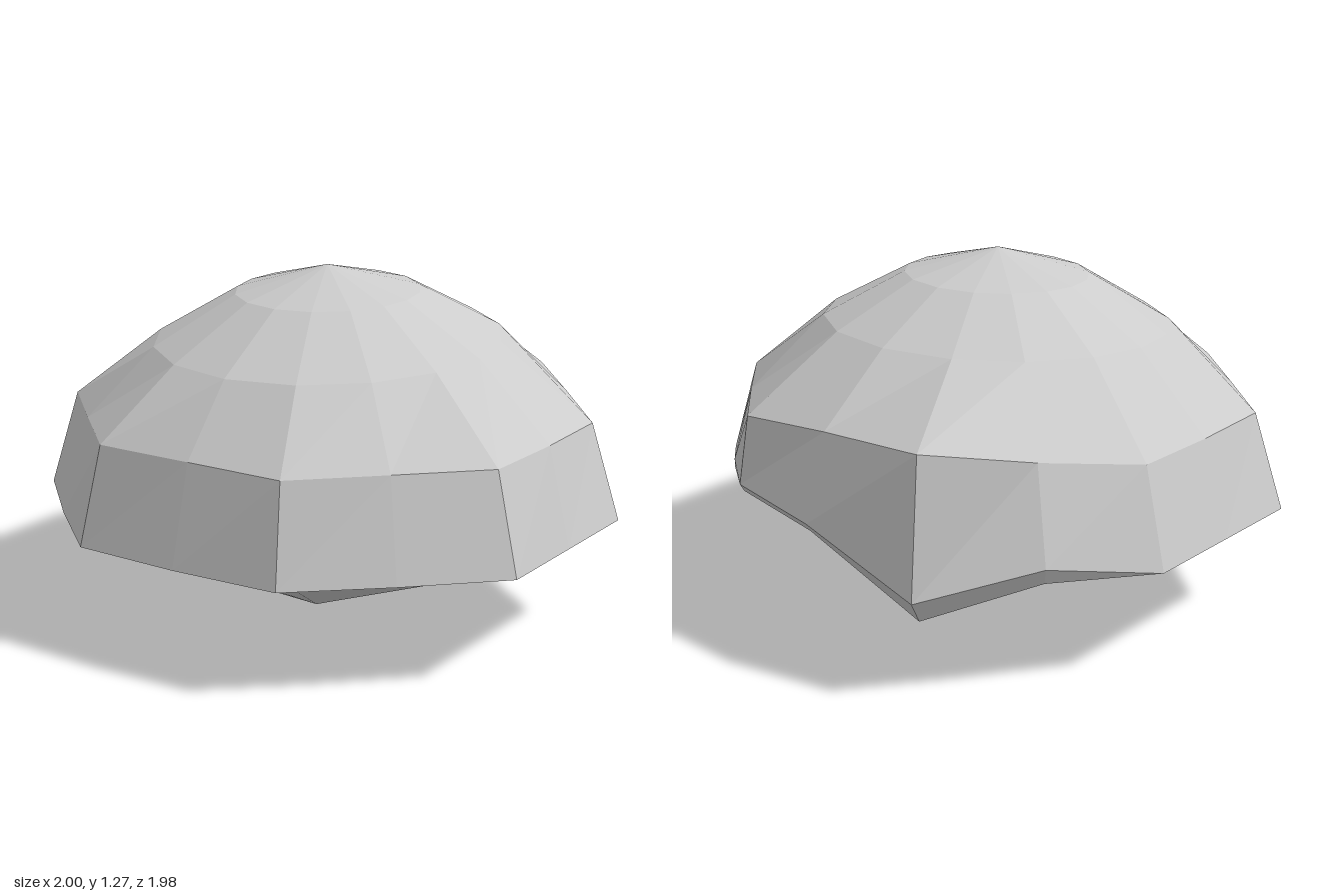
import * as THREE from 'three';

// Sixteen-point ring: six points down the left side from the front (mirrored
// to the right side), then five uneven points across the back.
function ring(side, back) {
  const mirrored = side.slice(1).reverse().map(([x, y, z]) => [-x, y, z]);
  return [...side, ...back, ...mirrored];
}

// Faceted skin between stacked rings, listed from bottom to top.
// A ring with a single point closes the skin to a tip.
function loft(rings, from = 0, to = 16) {
  const pos = [];
  const tri = (a, b, c) => pos.push(...a, ...b, ...c);
  for (let r = 0; r < rings.length - 1; r++) {
    const low = rings[r], up = rings[r + 1];
    for (let i = from; i < to; i++) {
      const j = (i + 1) % 16;
      if (low.length === 1) tri(low[0], up[j], up[i]);
      else if (up.length === 1) tri(low[i], low[j], up[0]);
      else {
        tri(low[i], low[j], up[j]);
        tri(low[i], up[j], up[i]);
      }
    }
  }
  const geo = new THREE.BufferGeometry();
  geo.setAttribute('position', new THREE.Float32BufferAttribute(pos, 3));
  geo.computeVertexNormals();
  return geo;
}

export function createModel() {
  const model = new THREE.Group();
  model.name = 'facetedDome';
  const grey = new THREE.MeshStandardMaterial({ color: 0xcccccc, flatShading: true });
  grey.name = 'grey';

  const add = (name, geo) => {
    const mesh = new THREE.Mesh(geo, grey);
    mesh.name = name;
    model.add(mesh);
  };

  // Rim of the dome, lifted at the back and pulled out to a corner
  const rimSide = [[0, .387, .985], [.41, .387, .97], [.71, .387, .71], [1, .387, .43], [1, .387, .06], [1, .387, -.32]];
  const rim = ring(rimSide,
    [[.72, .48, -.6], [.42, .53, -.87], [0, .52, -.98], [-.47, .36, -.99], [-.78, .46, -.68]]);

  // Shoulder where the steep wall meets the roof
  const shoulder = ring(
    [[0, .74, .89], [.375, .74, .89], [.64, .74, .64], [.9, .74, .39], [.91, .74, .05], [.9, .74, -.29]],
    [[.65, .76, -.57], [.4, .78, -.84], [0, .82, -.88], [-.44, .85, -.92], [-.69, .79, -.61]]);

  // Round roof rings follow the same sixteen directions as the rim
  const roofRing = (radius, y, drop) => rim.map(([x, , z]) => {
    const a = Math.atan2(x, z - .05);
    return [radius * Math.sin(a), y - drop * Math.cos(a), .05 + radius * Math.cos(a)];
  });
  add('dome', loft([rim, shoulder, roofRing(.63, 1.01, .03), roofRing(.335, 1.178, .012), [[0, 1.27, .055]]]));

  // Underside: shallow outer band, then a cone to the lowest point
  const baseEdge = ring(rimSide,
    [[.72, .45, -.6], [.42, .5, -.85], [0, .49, -.96], [-.46, .28, -.94], [-.76, .4, -.66]]);
  const baseInner = ring(
    [[0, .32, .76], [.31, .32, .75], [.54, .32, .56], [.76, .32, .36], [.76, .32, .08], [.75, .32, -.2]],
    [[.54, .37, -.42], [.32, .41, -.62], [0, .37, -.73], [-.35, .24, -.65], [-.57, .3, -.45]]);
  add('underside', loft([[[0, 0, .13]], baseInner, baseEdge]));

  // Narrow lip joining dome and underside around the raised back
  add('backLip', loft([baseEdge, rim], 5, 11));

  return model;
}
